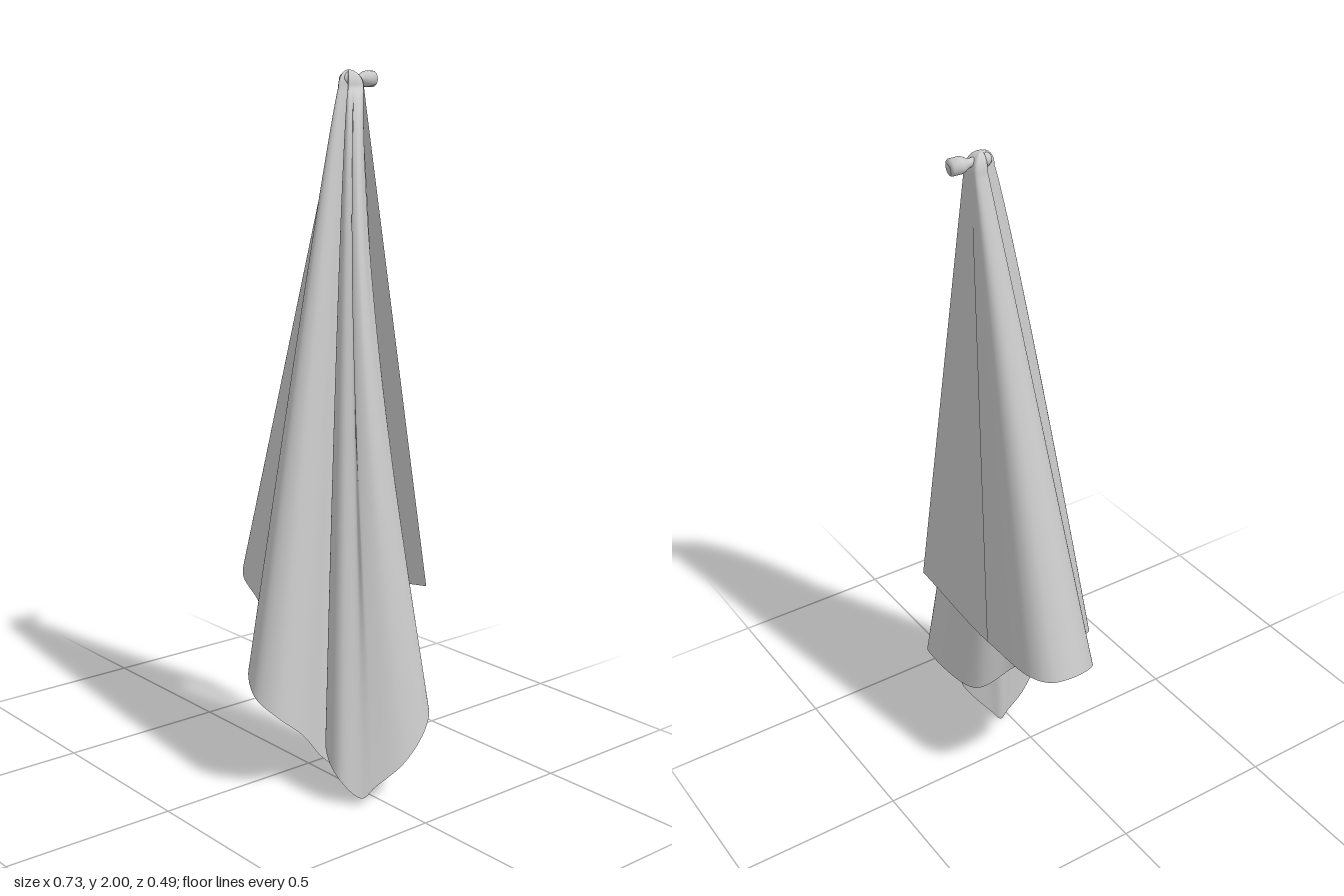
import * as THREE from 'three';

const material = new THREE.MeshStandardMaterial({ color: 0xcccccc, side: THREE.DoubleSide });
const { lerp, smoothstep } = THREE.MathUtils;

// Hem of the hanging cloth (x, y, z) from one free edge to the other
const HEM = [
  // left fold, starting at the free back edge
  [-0.08, 0.54, -0.205], [-0.30, 0.56, -0.204], [-0.352, 0.56, -0.17], [-0.368, 0.56, -0.11],
  [-0.35, 0.545, -0.04], [-0.30, 0.51, 0.01], [-0.20, 0.46, 0.03], [-0.11, 0.415, 0.075],
  // front fold, ending in a hanging corner
  [-0.05, 0.375, 0.16], [0, 0.335, 0.22], [0.07, 0.29, 0.246], [0.125, 0.245, 0.215],
  [0.14, 0.18, 0.14], [0.122, 0.08, 0.05], [0.122, 0.03, -0.008], [0.125, 0.005, -0.03],
  // pleat behind the corner
  [0.14, 0.035, -0.055], [0.19, 0.17, -0.135], [0.195, 0.2, -0.09], [0.165, 0.2, 0],
  // right fold with the second hanging corner
  [0.168, 0.17, 0.07], [0.215, 0.13, 0.108], [0.27, 0.08, 0.11], [0.31, 0.025, 0.062],
  [0.328, 0.055, 0.03], [0.363, 0.12, -0.05], [0.352, 0.2, -0.14], [0.30, 0.24, -0.188],
  // inner back wall, looping inside the left fold
  [0.05, 0.255, -0.17], [-0.05, 0.37, -0.09], [-0.21, 0.53, -0.05], [-0.28, 0.58, -0.11],
  // back flap with its free edge
  [-0.25, 0.565, -0.18], [-0.10, 0.53, -0.196], [0.268, 0.575, -0.21],
];
const SEGMENTS = 340, ROWS = 56, CAP_ROWS = 8;
const NECK_Y = 1.95, PEAK_Y = 2;
const peak = { x: -0.022, z: -0.158 };

// 0 outside a..d, 1 between b and c
const bump = (k, a, b, c, d) => smoothstep(k, a, b) * (1 - smoothstep(k, c, d));

function cloth() {
  const curve = new THREE.CatmullRomCurve3(HEM.map((p) => new THREE.Vector3(...p)));
  const positions = [], indices = [];
  const total = ROWS + CAP_ROWS;

  for (let i = 0; i <= SEGMENTS; i++) {
    const u = i / SEGMENTS;
    const hem = curve.getPoint(u);
    // The right fold bulges out sooner below the peg and bows forward
    const k = u * (HEM.length - 1);
    const power = 1 - 0.36 * bump(k, 3, 23, 25, 30);
    const bow = 0.09 * bump(k, 22, 26, 26, 29);
    // Gathered neck directly below the peg
    const neckX = -0.02 + 0.09 * hem.x, neckZ = -0.158 + 0.17 * hem.z;

    for (let j = 0; j <= total; j++) {
      if (j < CAP_ROWS) {
        // Rounded top draped over the peg
        const angle = (j / CAP_ROWS) * Math.PI / 2, s = Math.sin(angle);
        positions.push(
          lerp(peak.x, neckX, s),
          NECK_Y + (PEAK_Y - NECK_Y) * Math.cos(angle),
          lerp(peak.z, neckZ, s));
      } else {
        // Folds opening out from neck to hem
        const t = ((j - CAP_ROWS) / ROWS) ** 1.3;
        const f = t ** power;
        positions.push(
          lerp(neckX, hem.x, f),
          lerp(NECK_Y, hem.y, t),
          lerp(neckZ, hem.z, f) + bow * Math.sin(Math.PI * t ** 0.7));
      }
    }
  }
  const stride = total + 1;
  for (let i = 0; i < SEGMENTS; i++) {
    for (let j = 0; j < total; j++) {
      const p = i * stride + j, q = p + stride;
      indices.push(p, p + 1, q, q, p + 1, q + 1);
    }
  }
  const geometry = new THREE.BufferGeometry();
  geometry.setAttribute('position', new THREE.Float32BufferAttribute(positions, 3));
  geometry.setIndex(indices);
  geometry.computeVertexNormals();
  const mesh = new THREE.Mesh(geometry, material);
  mesh.name = 'hangingCloth';
  return mesh;
}

// Turned wall peg: rounded tip inside the cloth, narrow neck, flared base at the back
function peg() {
  const profile = [
    [0, 0], [0.012, 0.003], [0.019, 0.014], [0.018, 0.026], [0.012, 0.042], [0.011, 0.06],
    [0.014, 0.07], [0.02, 0.08], [0.022, 0.088], [0.022, 0.115], [0, 0.115],
  ].map(([r, y]) => new THREE.Vector2(r, y));
  const mesh = new THREE.Mesh(new THREE.LatheGeometry(profile, 32), material);
  mesh.rotation.x = -Math.PI / 2;
  mesh.position.set(-0.021, 1.975, -0.132);
  mesh.name = 'wallPeg';
  return mesh;
}

export function createModel() {
  const group = new THREE.Group();
  group.name = 'clothOnPeg';
  group.add(cloth(), peg());
  return group;
}
